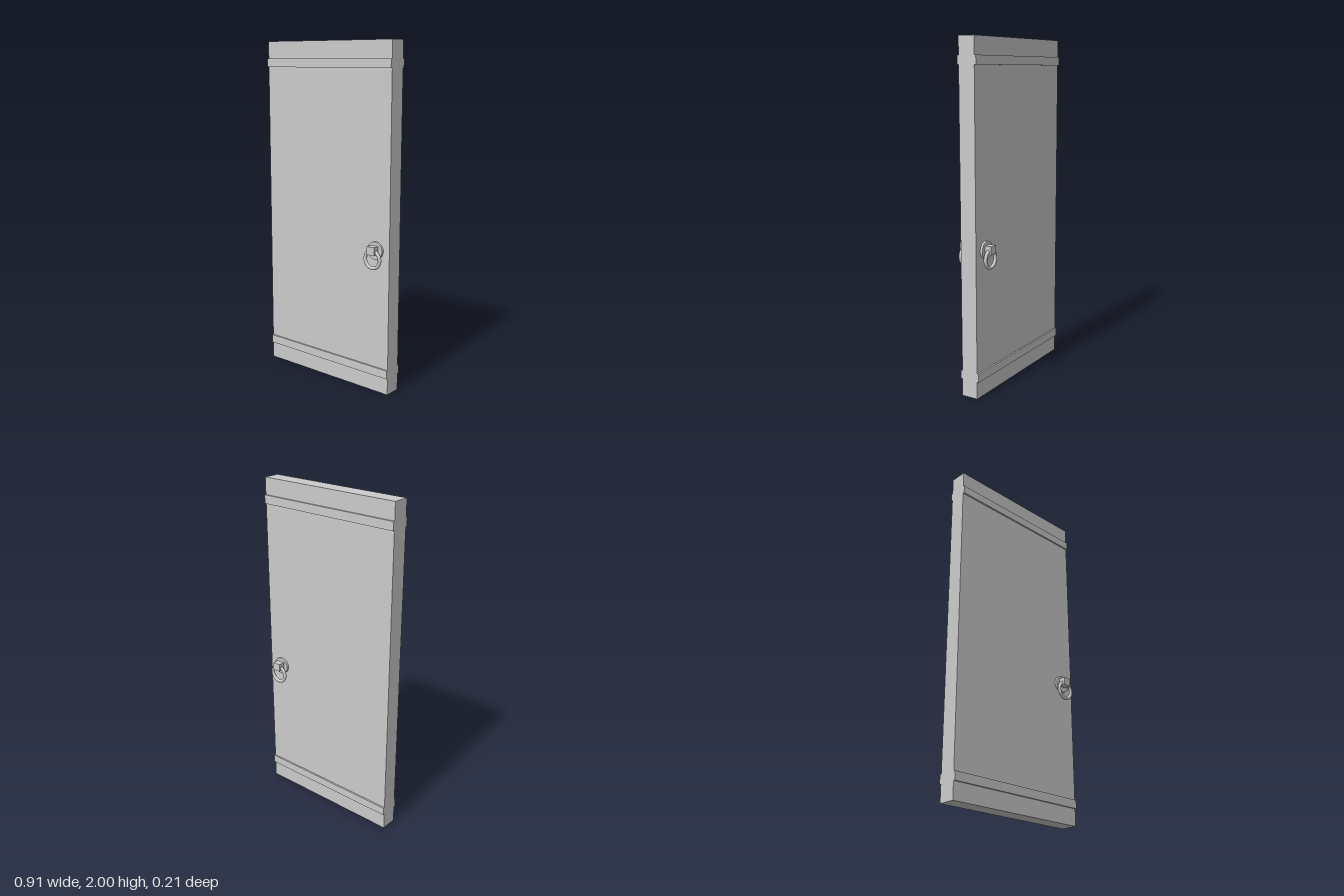
import * as THREE from 'three';

const material = new THREE.MeshStandardMaterial({ color: 0xcccccc });

function addMesh(parent, name, geometry, x, y, z) {
  const mesh = new THREE.Mesh(geometry, material);
  mesh.name = name;
  mesh.position.set(x, y, z);
  parent.add(mesh);
  return mesh;
}

// Round plate, square boss and hanging ring, built for the face looking along +z * side
function createHandle(side) {
  const handle = new THREE.Group();
  handle.name = side > 0 ? 'frontHandle' : 'backHandle';
  const plate = new THREE.CylinderGeometry(0.051, 0.051, 0.014, 32).rotateX(Math.PI / 2);
  addMesh(handle, 'backPlate', plate, 0, 0.845, side * 0.057);
  addMesh(handle, 'ringMount', new THREE.BoxGeometry(0.05, 0.048, 0.054), 0, 0.85, side * 0.077);
  addMesh(handle, 'pullRing', new THREE.TorusGeometry(0.05, 0.01, 12, 40), 0, 0.798, side * 0.0835);
  handle.position.x = 0.363;
  return handle;
}

export function createModel() {
  const door = new THREE.Group();
  door.name = 'door';

  // Door slab
  addMesh(door, 'panel', new THREE.BoxGeometry(0.91, 2, 0.1), 0, 1, 0);

  // Raised bands and a ring handle on both faces
  for (const side of [1, -1]) {
    for (const [name, y] of [['lowerBand', 0.125], ['upperBand', 1.875]]) {
      addMesh(door, name, new THREE.BoxGeometry(0.91, 0.05, 0.01), 0, y, side * 0.055);
    }
    door.add(createHandle(side));
  }
  return door;
}
